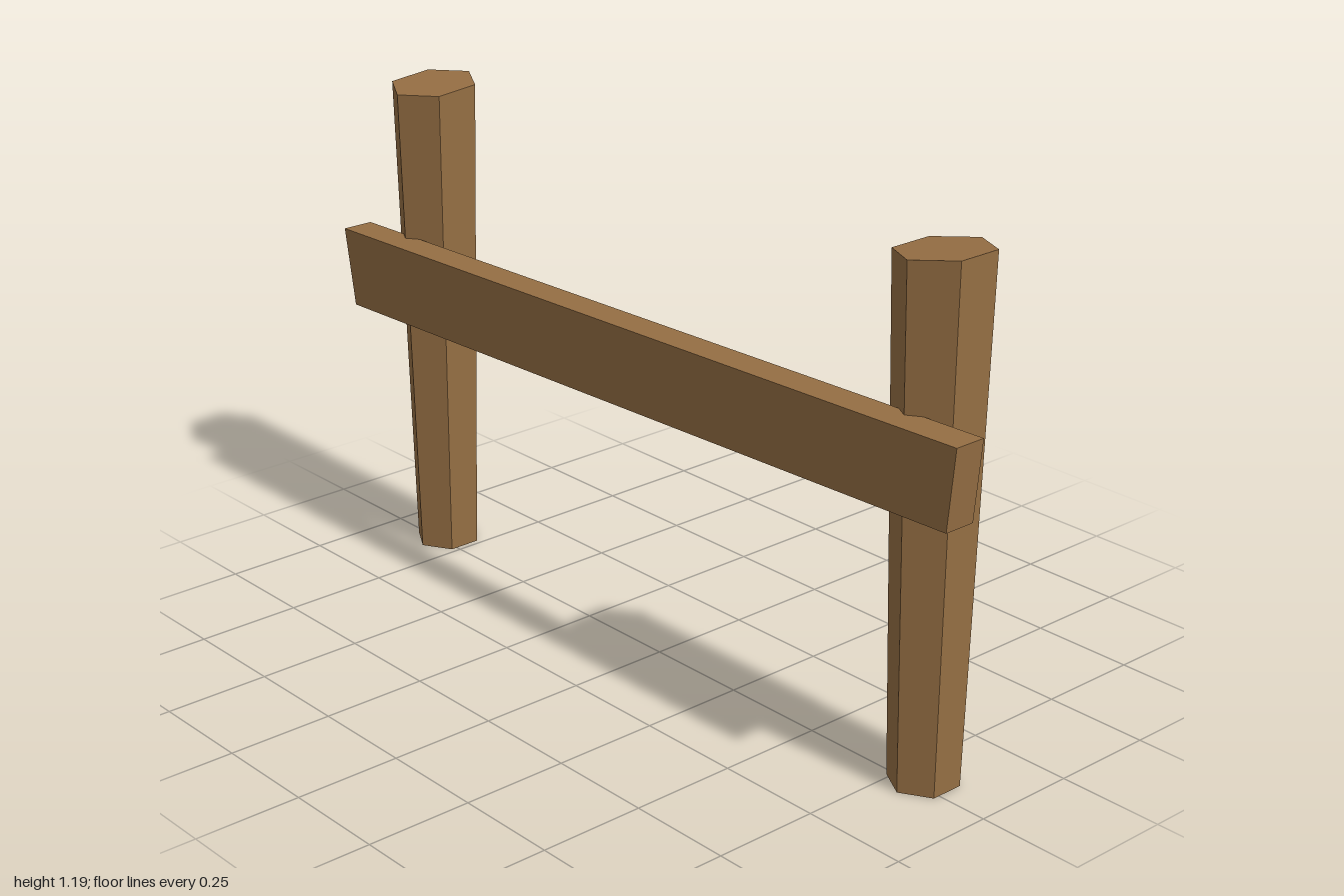
import * as THREE from 'three';

const wood = new THREE.MeshStandardMaterial({ color: 0x966f44, flatShading: true, side: THREE.DoubleSide });
wood.name = 'brown wood';

const TOP = 1.175, R_TOP = 0.106, R_BOTTOM = 0.079;

// Tapered hexagonal post, open underneath, with a slanted top cut
function makePost(name, x, slopeX, slopeZ) {
  const group = new THREE.Group();
  group.name = name;
  const slant = (geometry) => {
    const p = geometry.attributes.position;
    for (let i = 0; i < p.count; i++) {
      if (p.getY(i) > TOP / 2) p.setY(i, TOP + slopeX * p.getX(i) + slopeZ * p.getZ(i));
    }
    geometry.computeVertexNormals();
    return geometry;
  };
  const sides = new THREE.CylinderGeometry(R_TOP, R_BOTTOM, TOP, 6, 1, true);
  sides.translate(0, TOP / 2, 0);
  const cap = new THREE.CircleGeometry(R_TOP, 6, Math.PI / 2);
  cap.rotateX(-Math.PI / 2).translate(0, TOP, 0);
  for (const [part, geometry] of [['postSides', sides], ['postTop', cap]]) {
    const mesh = new THREE.Mesh(slant(geometry), wood);
    mesh.name = part;
    group.add(mesh);
  }
  group.position.set(x, 0, -0.024);
  return group;
}

export function createModel() {
  const model = new THREE.Group();
  model.name = 'fence';
  model.add(makePost('rightPost', -0.832, 0, -0.095));
  model.add(makePost('leftPost', 0.808, 0.1, 0));

  // Slightly tilted rail with angled ends, fixed across the front
  const outline = new THREE.Shape([
    [-0.967, 0.621], [0.982, 0.674], [1, 0.858], [-1, 0.807],
  ].map(([x, y]) => new THREE.Vector2(x, y)));
  const rail = new THREE.Mesh(
    new THREE.ExtrudeGeometry(outline, { depth: 0.076, bevelEnabled: false }), wood);
  rail.position.z = 0.055;
  rail.name = 'rail';
  model.add(rail);
  return model;
}
